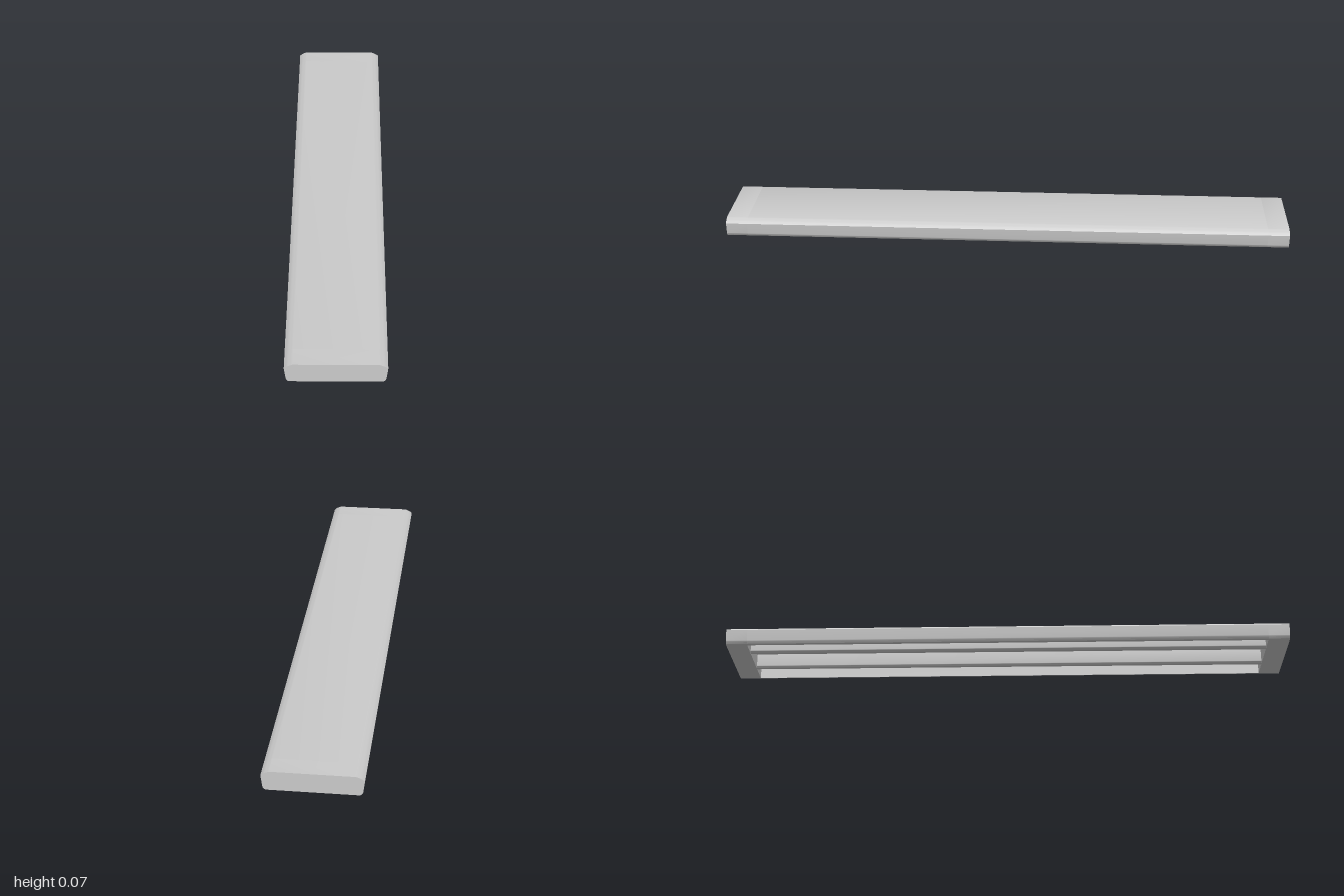
import * as THREE from 'three';
import { toCreasedNormals } from 'three/addons/utils/BufferGeometryUtils.js';

const END = 0.075;                 // thickness of the solid ends
const CEILING = 0.056;             // underside of the top plate
const WALL = 0.143;                // inner half width of the hollow
const RIB = { x: 0.066, r: 0.011, bottom: 0.002 };

// Right half of the outer outline, bottom to top, then mirrored.
function outerPoints() {
  const half = new THREE.Path();
  half.moveTo(0.146, 0);
  half.quadraticCurveTo(0.155, 0.002, 0.157, 0.013);
  half.lineTo(0.162, 0.052);
  half.quadraticCurveTo(0.154, 0.061, 0.135, 0.067);
  const right = half.getPoints(6);
  const left = right.map((p) => new THREE.Vector2(-p.x, p.y)).reverse();
  return [right, left];
}

function extrude(shape, z0, z1) {
  const geo = new THREE.ExtrudeGeometry(shape, { depth: z1 - z0, bevelEnabled: false, curveSegments: 8 });
  geo.translate(0, 0, z0);
  return toCreasedNormals(geo, 0.6);
}

export function createModel() {
  const group = new THREE.Group();
  group.name = 'plank';
  const material = new THREE.MeshStandardMaterial({ color: 0xcccccc });
  const add = (name, geo) => {
    const mesh = new THREE.Mesh(geo, material);
    mesh.name = name;
    group.add(mesh);
  };
  const [right, left] = outerPoints();
  const inner = 1 - END;

  // Hollow channel, open underneath
  const channel = new THREE.Shape([
    ...right, ...left,
    new THREE.Vector2(-WALL, 0), new THREE.Vector2(-WALL, CEILING),
    new THREE.Vector2(WALL, CEILING), new THREE.Vector2(WALL, 0),
  ]);
  add('channelShell', extrude(channel, -inner, inner));

  // Solid ends
  const solid = new THREE.Shape([...right, ...left]);
  add('frontEnd', extrude(solid, inner, 1));
  add('backEnd', extrude(solid, -1, -inner));

  // Two round-edged ribs hanging from the top plate
  for (const side of [-1, 1]) {
    const x = side * RIB.x;
    const rib = new THREE.Shape();
    rib.moveTo(x - RIB.r, CEILING + 0.002);
    rib.lineTo(x - RIB.r, RIB.bottom + RIB.r);
    rib.absarc(x, RIB.bottom + RIB.r, RIB.r, Math.PI, 2 * Math.PI, false);
    rib.lineTo(x + RIB.r, CEILING + 0.002);
    add(side > 0 ? 'leftRib' : 'rightRib', extrude(rib, -inner, inner));
  }
  return group;
}
